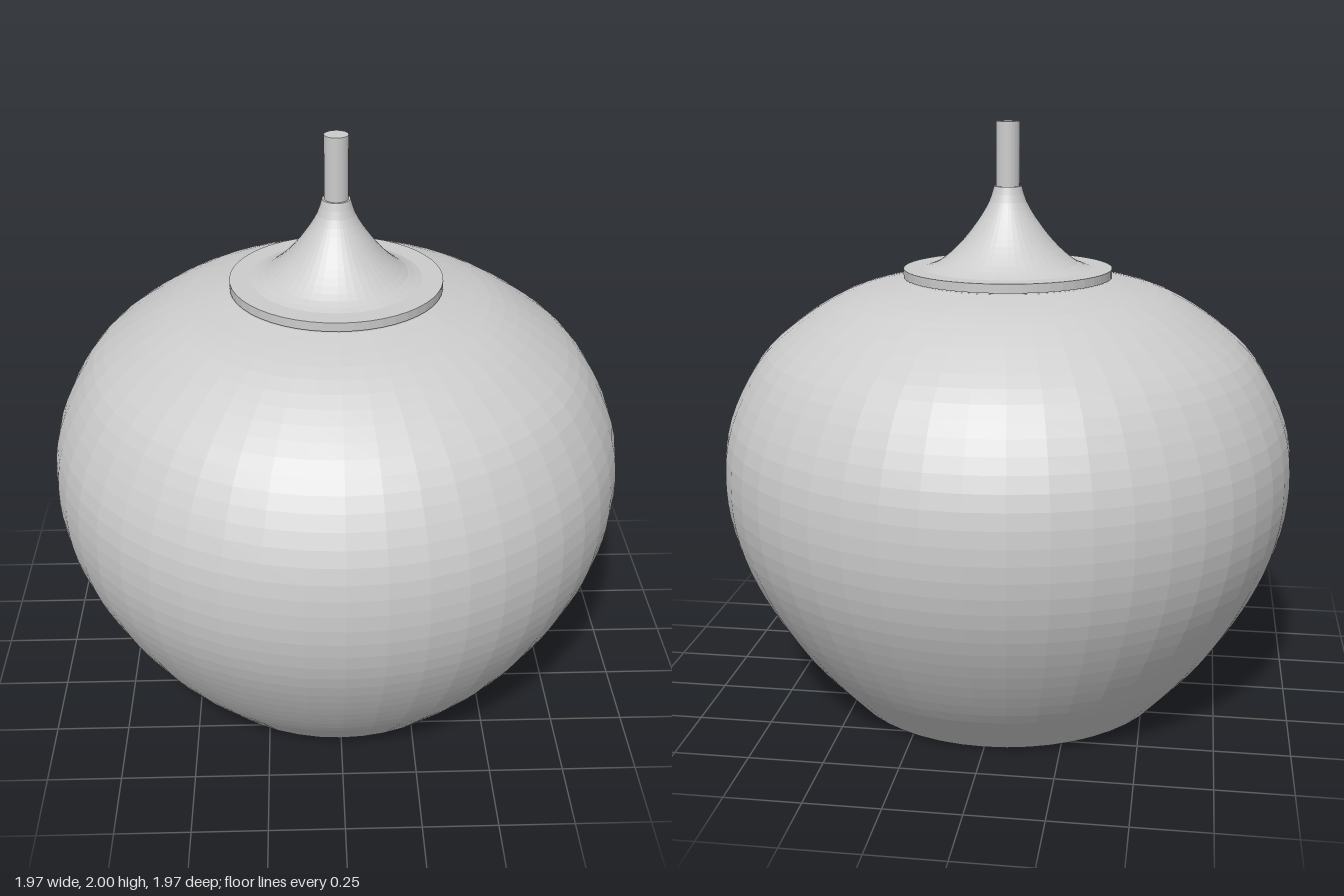
import * as THREE from 'three';

const SIDES = 48;

// Smooth curve through [radius, height] points, sampled evenly
function curve(points, divisions) {
  return new THREE.SplineCurve(points.map(([r, y]) => new THREE.Vector2(r, y))).getSpacedPoints(divisions);
}

export function createModel() {
  const lamp = new THREE.Group();
  lamp.name = 'pendantLamp';
  const metal = new THREE.MeshStandardMaterial({ color: 0xcccccc, flatShading: true });
  metal.name = 'light grey';

  function add(name, geometry, y = 0) {
    const mesh = new THREE.Mesh(geometry, metal);
    mesh.name = name;
    mesh.position.y = y;
    lamp.add(mesh);
  }

  // Hollow shade: down the inside wall, across the rim, up the outside
  const outer = curve([
    [0.575, 0], [0.74, 0.19], [0.872, 0.4], [0.955, 0.6], [0.985, 0.8], [0.958, 1.0],
    [0.855, 1.2], [0.72, 1.325], [0.55, 1.425], [0.36, 1.475],
  ], 36);
  const inner = curve([
    [0.555, 0], [0.722, 0.2], [0.852, 0.4], [0.935, 0.6], [0.965, 0.8], [0.938, 1.0],
    [0.838, 1.19], [0.706, 1.309], [0.542, 1.405], [0.355, 1.455],
  ], 36).reverse();
  add('shade', new THREE.LatheGeometry([
    new THREE.Vector2(0, 1.455), ...inner, ...outer, new THREE.Vector2(0, 1.475),
  ], SIDES));

  // Cap disc covering the top of the shade
  add('capDisc', new THREE.CylinderGeometry(0.357, 0.357, 0.03, SIDES), 1.494);

  // Flared neck rising from the disc
  const neck = curve([
    [0.29, 1.508], [0.235, 1.53], [0.165, 1.59], [0.105, 1.665], [0.065, 1.73], [0.047, 1.785],
  ], 14);
  add('flaredNeck', new THREE.LatheGeometry([...neck, new THREE.Vector2(0, 1.785)], SIDES));

  // Stem
  add('stem', new THREE.CylinderGeometry(0.04, 0.04, 0.225, 32), 1.8875);
  return lamp;
}
